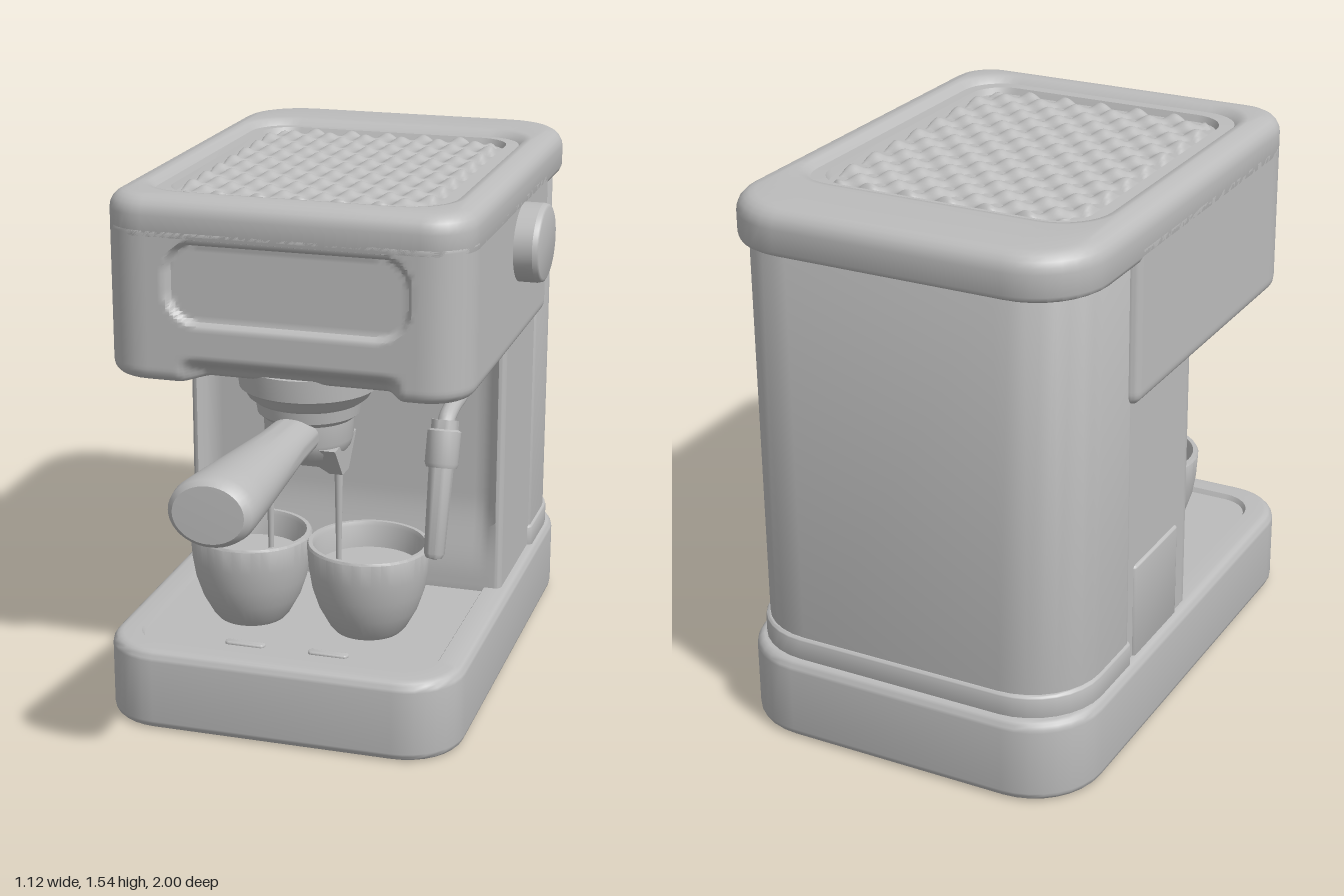
import * as THREE from 'three';
import { toCreasedNormals } from 'three/addons/utils/BufferGeometryUtils.js';

const CX = -0.035; // centre line of the body

// Plan outline: a rounded rectangle with separate front and back corner radii
const plan = (x0, x1, z0, z1, rf, rb = rf) => ({ x0, x1, z0, z1, rf, rb });
const inset = (p, d) => plan(p.x0 + d, p.x1 - d, p.z0 + d, p.z1 - d,
  Math.max(p.rf - d, 0.008), Math.max(p.rb - d, 0.008));

function ringPoints(p, y, n) {
  const corners = [[p.x1 - p.rf, p.z1 - p.rf, p.rf], [p.x0 + p.rf, p.z1 - p.rf, p.rf],
    [p.x0 + p.rb, p.z0 + p.rb, p.rb], [p.x1 - p.rb, p.z0 + p.rb, p.rb]];
  const pts = [];
  corners.forEach(([cx, cz, r], c) => {
    for (let i = 0; i <= 8; i++) {
      const a = (c + i / 8) * Math.PI / 2;
      pts.push(new THREE.Vector3(cx + r * Math.cos(a), y, cz + r * Math.sin(a)));
    }
    const [nx, nz, nr] = corners[(c + 1) % 4], a = (c + 1) * Math.PI / 2;
    const from = pts[pts.length - 1];
    const to = new THREE.Vector3(nx + nr * Math.cos(a), y, nz + nr * Math.sin(a));
    for (let i = 1; i < n; i++) pts.push(from.clone().lerp(to, i / n));
  });
  return pts;
}

// Skin a stack of [y, plan] rings and cap both ends
function loft(rings, n = 1, deform = null) {
  const loops = rings.map(([y, p]) => ringPoints(p, y, n));
  if (deform) loops.flat().forEach(deform);
  const m = loops[0].length, pos = [], idx = [];
  loops.flat().forEach(v => pos.push(v.x, v.y, v.z));
  for (let k = 0; k < loops.length - 1; k++)
    for (let i = 0; i < m; i++) {
      const a = k * m + i, b = k * m + (i + 1) % m;
      idx.push(a, a + m, b, b, a + m, b + m);
    }
  [0, loops.length - 1].forEach((k, top) => {
    const p = rings[k][1], c = pos.length / 3;
    pos.push((p.x0 + p.x1) / 2, rings[k][0], (p.z0 + p.z1) / 2);
    for (let i = 0; i < m; i++) {
      const a = k * m + i, b = k * m + (i + 1) % m;
      idx.push(c, top ? b : a, top ? a : b);
    }
  });
  const g = new THREE.BufferGeometry();
  g.setAttribute('position', new THREE.Float32BufferAttribute(pos, 3));
  g.setIndex(idx);
  return toCreasedNormals(g, 0.7);
}

// Rings of a block whose bottom and top edges are rounded
function block(y0, y1, p, eBottom, eTop, steps = 1) {
  const rings = [];
  for (let i = 0; i <= 5; i++) {
    const a = i / 5 * Math.PI / 2;
    rings.push([y0 + eBottom * (1 - Math.sin(a)), inset(p, eBottom * (1 - Math.cos(a)))]);
  }
  rings.reverse().sort((a, b) => a[0] - b[0]);
  const lo = y0 + eBottom, hi = y1 - eTop;
  for (let i = 1; i < steps; i++) rings.push([lo + (hi - lo) * i / steps, p]);
  for (let i = 0; i <= 5; i++) {
    const a = i / 5 * Math.PI / 2;
    rings.push([hi + eTop * Math.sin(a), inset(p, eTop * (1 - Math.cos(a)))]);
  }
  return rings;
}

// Signed distance to a rounded rectangle
function roundedBox(u, v, hu, hv, r) {
  const a = Math.abs(u) - hu + r, b = Math.abs(v) - hv + r;
  return Math.hypot(Math.max(a, 0), Math.max(b, 0)) + Math.min(Math.max(a, b), 0) - r;
}
const ramp = (v, a, b) => THREE.MathUtils.smoothstep(v, a, b);

function lathe(points, segs = 40) {
  return toCreasedNormals(new THREE.LatheGeometry(points.map(p => new THREE.Vector2(...p)), segs), 0.6);
}

export function createModel() {
  const group = new THREE.Group();
  const grey = new THREE.MeshStandardMaterial({ name: 'plain grey', color: 0xbcbcbc });
  const add = (name, geo, x = 0, y = 0, z = 0) => {
    const mesh = new THREE.Mesh(geo, grey);
    mesh.name = name;
    mesh.position.set(x, y, z);
    group.add(mesh);
    return mesh;
  };

  // Base with sunken drip tray
  const basePlan = plan(-0.56, 0.49, -1, 0.55, 0.17, 0.2);
  const trayPlan = plan(-0.48, 0.41, -0.3, 0.47, 0.1);
  add('base', loft([...block(0, 0.242, basePlan, 0.025, 0.03),
    [0.242, trayPlan], [0.228, inset(trayPlan, 0.008)]]));
  for (const x of [-0.16, 0.09])
    add('trayTab', loft(block(0.225, 0.236, plan(-0.06, 0.06, -0.014, 0.014, 0.013), 0.002, 0.004)), x, 0, 0.39);

  // Column with a shallow recessed splash panel
  add('column', loft(block(0.22, 1.06, plan(-0.53, 0.46, -0.62, -0.19, 0.02), 0.005, 0.005, 40), 40, v => {
    if (v.z < -0.21) return;
    v.z -= 0.035 * ramp(0.475 - Math.abs(v.x - CX), 0, 0.04) * ramp(v.y, 0.27, 0.52);
  }));
  add('sidePanel', loft(block(0.235, 0.52, plan(-0.537, -0.5, -0.55, -0.27, 0.01), 0.004, 0.01)));

  // Water tank and its collar
  add('waterTank', loft(block(0.22, 1.45, plan(-0.535, 0.465, -0.965, -0.575, 0.025, 0.2), 0.01, 0.01)));
  add('tankCollar', loft(block(0.22, 0.305, plan(-0.543, 0.473, -0.975, -0.57, 0.025, 0.2), 0.005, 0.012)));

  // Head with recessed front window and scooped lower lip
  const headPlan = plan(-0.56, 0.49, -0.61, 0.44, 0.13, 0.03);
  add('head', loft(block(1.015, 1.45, headPlan, 0.035, 0.004, 44), 70, v => {
    if (v.z < 0.36) return;
    const d = roundedBox(v.x + 0.015, v.y - 1.305, 0.355, 0.125, 0.1);
    v.z -= 0.022 * ramp(-d, 0, 0.018);
    v.z -= 0.08 * ramp(0.325 - Math.abs(v.x + 0.01), 0, 0.07) * ramp(1.095 - v.y, 0, 0.06);
  }));

  // Lid: rounded rim, stepped recess and floor
  const lidPlan = plan(-0.56, 0.49, -0.98, 0.44, 0.13, 0.2);
  const recess = plan(-0.48, 0.41, -0.74, 0.35, 0.14);
  const panel = plan(-0.425, 0.355, -0.69, 0.29, 0.1);
  add('lid', loft([[1.41, inset(lidPlan, 0.02)], [1.418, inset(lidPlan, 0.005)],
    ...block(1.43, 1.538, lidPlan, 0.0001, 0.05).slice(5),
    [1.543, inset(recess, -0.02)], [1.54, recess], [1.522, inset(recess, 0.018)],
    [1.524, panel], [1.505, inset(panel, 0.008)]]));

  // Cup warmer: staggered dimple pattern on a displaced plane
  const mesh = new THREE.PlaneGeometry(0.78, 0.98, 96, 120).rotateX(-Math.PI / 2);
  const p = mesh.attributes.position;
  for (let i = 0; i < p.count; i++) {
    const x = p.getX(i), z = p.getZ(i);
    const wave = Math.cos(Math.PI * x / 0.058) * Math.cos(Math.PI * z / 0.058);
    const inside = ramp(-roundedBox(x, z, 0.385, 0.485, 0.1), 0, 0.025);
    p.setY(i, -0.02 + inside * (0.022 + 0.016 * wave));
  }
  mesh.computeVertexNormals();
  add('cupWarmer', mesh, CX, 1.512, -0.2);

  // Control knob
  const knob = add('knob', lathe([[0, 0], [1, 0], [1, 0.075], [0.97, 0.088], [0.9, 0.092], [0, 0.092]]), 0.47, 1.318, -0.245);
  knob.rotation.z = -Math.PI / 2;
  knob.scale.set(0.115, 1, 0.135);

  // Group head and filter holder
  const GZ = 0.165;
  add('groupHead', lathe([[0, 0.92], [0.155, 0.92], [0.175, 0.935], [0.185, 0.955], [0.2, 0.965], [0.205, 1.03], [0, 1.03]]), CX, 0, GZ);
  add('filterBasket', lathe([[0, 0.76], [0.1, 0.76], [0.12, 0.785], [0.128, 0.81], [0.13, 0.87], [0.148, 0.885], [0.155, 0.93], [0, 0.93]]), CX, 0, GZ);

  // Twin spout, streams and cups
  const SX = -0.05;
  const spout = new THREE.Shape([[-0.125, 0.8], [-0.125, 0.705], [-0.085, 0.705], [-0.06, 0.73],
    [0.06, 0.73], [0.085, 0.705], [0.125, 0.705], [0.125, 0.8]].map(q => new THREE.Vector2(...q)));
  const spoutGeo = new THREE.ExtrudeGeometry(spout, { depth: 0.18, bevelEnabled: false }).translate(0, 0, -0.09);
  const sp = spoutGeo.attributes.position;
  for (let i = 0; i < sp.count; i++)
    sp.setZ(i, sp.getZ(i) * (0.3 + 0.9 * ramp(sp.getY(i), 0.69, 0.8)));
  spoutGeo.computeVertexNormals();
  add('spout', spoutGeo, SX, 0, GZ);
  for (const s of [-1, 1]) {
    add('coffeeStream', new THREE.CylinderGeometry(0.013, 0.007, 0.33, 12), SX + s * 0.104, 0.56, GZ);
    add('cup', lathe([[0, 0.228], [0.1, 0.228], [0.115, 0.245], [0.145, 0.3], [0.165, 0.36], [0.175, 0.42],
      [0.18, 0.49], [0.176, 0.497], [0.164, 0.497], [0.159, 0.485], [0.152, 0.42], [0, 0.42]]), CX + s * 0.18, 0, GZ);
  }

  // Handle
  const handle = add('handle', lathe([[0, 0], [0.058, 0], [0.062, 0.15], [0.075, 0.35], [0.09, 0.58],
    [0.095, 0.68], [0.091, 0.71], [0.078, 0.725], [0, 0.727]]), -0.043, 0.84, 0.274);
  handle.rotation.x = Math.PI / 2 - 0.03;
  handle.scale.x = 1.25;

  // Steam wand
  const WX = 0.4;
  const v = (y, z) => new THREE.Vector3(WX, y, z);
  const pipe = new THREE.CatmullRomCurve3([v(1.04, 0.08), v(0.985, 0.09), v(0.958, 0.13), v(0.95, 0.22), v(0.93, 0.285), v(0.87, 0.315)]);
  add('steamPipe', new THREE.TubeGeometry(pipe, 32, 0.024, 14));
  const between = (name, a, b, profile) => {
    const m = add(name, lathe(profile, 24), a.x, a.y, a.z);
    m.quaternion.setFromUnitVectors(new THREE.Vector3(0, 1, 0), b.clone().sub(a).normalize());
  };
  between('wandGrip', v(0.935, 0.295), v(0.81, 0.335),
    [[0, 0], [0.038, 0], [0.038, 0.025], [0.047, 0.03], [0.047, 0.12], [0.042, 0.132], [0, 0.132]]);
  between('wandTip', v(0.82, 0.333), v(0.56, 0.405),
    [[0, 0], [0.035, 0], [0.029, 0.25], [0.022, 0.262], [0, 0.267]]);

  return group;
}
